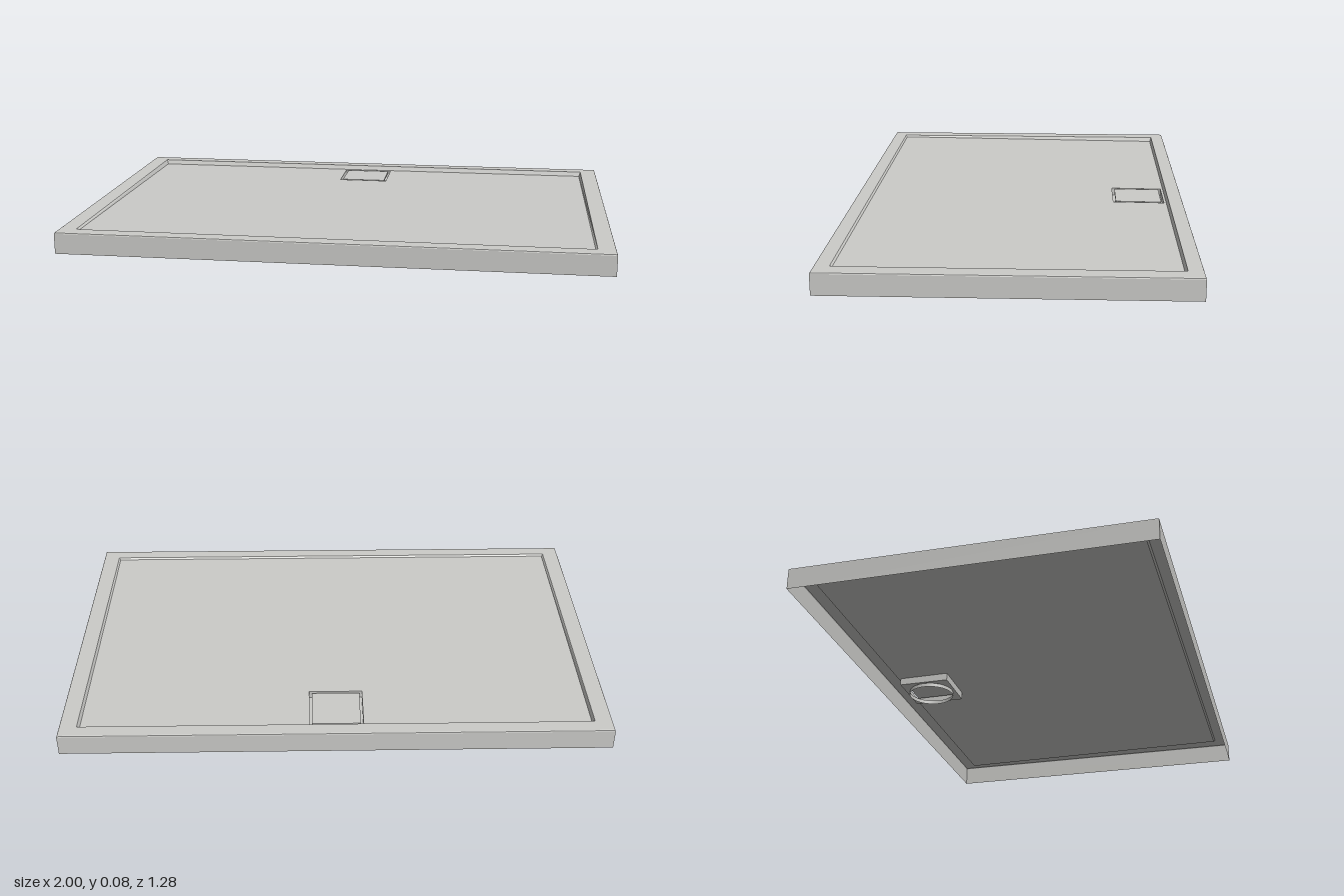
import * as THREE from 'three';

const BACK = -0.58, FRONT = 0.58, SIDE = 0.93;
const SLOPE = 0.011 / (FRONT - BACK);
// the floor falls gently towards the drain at the back
const floorY = z => 0.062 + (z - BACK) * SLOPE;

// flat-shaded surface from a list of four-cornered faces
function quadSurface(quads) {
  const pos = [];
  for (const [a, b, c, d] of quads) pos.push(...a, ...b, ...c, ...a, ...c, ...d);
  const g = new THREE.BufferGeometry();
  g.setAttribute('position', new THREE.Float32BufferAttribute(pos, 3));
  g.computeVertexNormals();
  return g;
}

// rectangular loop of corners, anticlockwise from above; y may depend on z
function loop(x, z, y) {
  return [[1, 1], [1, -1], [-1, -1], [-1, 1]].map(([sx, sz]) =>
    [sx * x, typeof y === 'function' ? y(sz * z) : y, sz * z]);
}

// join successive loops with bands of faces
function bands(loops) {
  const quads = [];
  for (let i = 0; i + 1 < loops.length; i++)
    for (let k = 0; k < 4; k++) {
      const n = (k + 1) % 4, lo = loops[i], hi = loops[i + 1];
      quads.push([lo[k], lo[n], hi[n], hi[k]]);
    }
  return quadSurface(quads);
}

export function createModel() {
  const group = new THREE.Group();
  const stone = new THREE.MeshStandardMaterial({ color: 0xcbcbc8, side: THREE.DoubleSide });
  stone.name = 'warm light grey';
  const add = (name, geometry, parent = group) => {
    const mesh = new THREE.Mesh(geometry, stone);
    mesh.name = name;
    parent.add(mesh);
    return mesh;
  };

  // outer skirt with a softened top edge, open underneath
  add('skirt', bands([
    loop(1, 0.64, 0), loop(1, 0.64, 0.075),
    loop(0.9985, 0.6385, 0.0785), loop(0.995, 0.635, 0.08),
  ]));

  // flat rim and the step down to the floor
  add('rim', bands([loop(0.995, 0.635, 0.08), loop(0.936, 0.586, 0.08)]));
  add('innerStep', bands([loop(0.936, 0.586, 0.08), loop(SIDE, FRONT, floorY)]));

  // floor panels around the square drain opening
  const h = 0.099, dz = -0.472;
  const rect = (x0, x1, z0, z1) =>
    [[x0, z1], [x1, z1], [x1, z0], [x0, z0]].map(([x, z]) => [x, floorY(z), z]);
  add('floor', quadSurface([
    rect(-SIDE, -h, BACK, FRONT), rect(h, SIDE, BACK, FRONT),
    rect(-h, h, BACK, dz - h), rect(-h, h, dz + h, FRONT),
  ]));

  // drain: square well, base with a round outlet, short pipe
  const drain = new THREE.Group();
  drain.name = 'drain';
  drain.position.z = dz;
  group.add(drain);
  const wellY = 0.035, pipeR = 0.088;
  add('drainWell', bands([loop(h, h, z => floorY(z + dz)), loop(h, h, wellY)]), drain);

  const base = new THREE.Shape();
  base.moveTo(-h, -h).lineTo(h, -h).lineTo(h, h).lineTo(-h, h).closePath();
  base.holes.push(new THREE.Path().absarc(0, 0, pipeR, 0, Math.PI * 2, true));
  const baseGeo = new THREE.ShapeGeometry(base, 32);
  baseGeo.rotateX(-Math.PI / 2).translate(0, wellY, 0);
  add('drainBase', baseGeo, drain);

  const pipe = new THREE.CylinderGeometry(pipeR, pipeR, 0.015, 48, 1, true);
  add('drainPipe', pipe.translate(0, wellY - 0.0075, 0), drain);

  // square cover plate with a narrow gap all round
  const cover = add('drainCover', new THREE.BoxGeometry(0.178, 0.008, 0.178), drain);
  cover.position.y = floorY(dz) - 0.004;
  cover.rotation.x = -Math.atan(SLOPE);

  return group;
}
